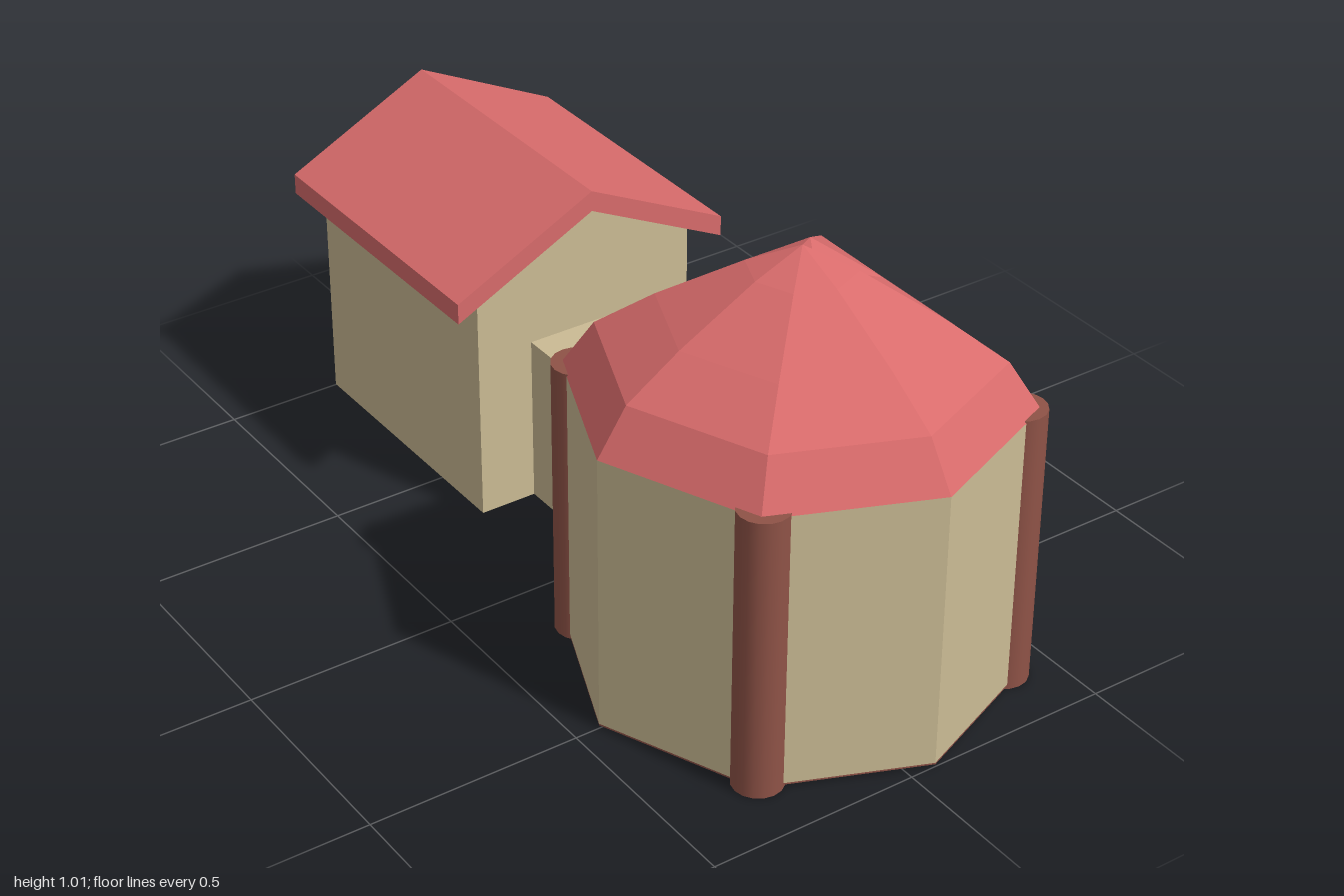
import * as THREE from 'three';

export function createModel() {
  const model = new THREE.Group();
  const paint = (name, color) => {
    const m = new THREE.MeshStandardMaterial({ color });
    m.name = name;
    return m;
  };
  const stone = paint('sand wall', 0xcbbb94);
  const tile = paint('red roof', 0xd86b6b);
  const wood = paint('brown trim', 0x8f5347);

  const add = (name, geometry, material, x = 0, y = 0, z = 0) => {
    const mesh = new THREE.Mesh(geometry, material);
    mesh.name = name;
    mesh.position.set(x, y, z);
    model.add(mesh);
    return mesh;
  };
  const box = (name, material, x0, x1, y0, y1, z0, z1) =>
    add(name, new THREE.BoxGeometry(x1 - x0, y1 - y0, z1 - z0), material,
      (x0 + x1) / 2, (y0 + y1) / 2, (z0 + z1) / 2);
  const extrude = (points, depth) => new THREE.ExtrudeGeometry(
    new THREE.Shape(points.map(([x, y]) => new THREE.Vector2(x, y))),
    { depth, bevelEnabled: false });

  // Hall plan: an octagon with its right and back corners cut flat
  const cx = 0.06, cz = 0.5;
  const plan = [];
  for (let i = 0; i < 8; i++) {
    const a = i * Math.PI / 4;
    const r = i === 0 || i === 6 ? 0.5 * Math.SQRT1_2 : 0.502;
    plan.push([Math.cos(a) * r, Math.sin(a) * r]);
  }
  const outline = plan.map(([x, z]) => [x, -z]);
  add('hallWalls', extrude(outline, 0.663).rotateX(-Math.PI / 2), stone, cx, 0.012, cz);
  add('hallFloor', extrude(outline, 0.004).rotateX(-Math.PI / 2), wood, cx, 0.008, cz);

  // Domed hall roof in four tiers
  const tiers = [[1, 0.675], [0.86, 0.78], [0.605, 0.863], [0.235, 0.962], [0, 1.01]];
  const ringPoint = (t, i) => {
    const [s, y] = tiers[t];
    const k = i % 8;
    if (t === 3 && k === 0) return [cx + 0.035, 0.945, cz]; // notch beside the peak
    return [cx + plan[k][0] * s, y, cz + plan[k][1] * s];
  };
  const pos = [];
  for (let t = 0; t < 4; t++) {
    for (let i = 0; i < 8; i++) {
      const a = ringPoint(t, i), b = ringPoint(t, i + 1);
      const c = ringPoint(t + 1, i), d = ringPoint(t + 1, i + 1);
      pos.push(...a, ...c, ...b);
      if (t < 3) pos.push(...b, ...c, ...d);
    }
  }
  const dome = new THREE.BufferGeometry();
  dome.setAttribute('position', new THREE.Float32BufferAttribute(pos, 3));
  dome.computeVertexNormals();
  add('hallRoof', dome, tile);

  // Corner columns
  for (const x of [-0.27, 0.382]) {
    for (const z of [0.17, 0.83]) {
      add('column', new THREE.CylinderGeometry(0.058, 0.058, 0.68, 16), wood, x, 0.34, z);
    }
  }

  // Door frame on the right wall
  box('doorPost', wood, 0.40, 0.44, 0.012, 0.37, 0.33, 0.37);
  box('doorPost', wood, 0.40, 0.44, 0.012, 0.37, 0.62, 0.66);
  box('doorLintel', wood, 0.40, 0.44, 0.33, 0.37, 0.37, 0.62);

  // Passage to the rear house
  box('passage', stone, -0.085, 0.2, 0.012, 0.425, -0.32, 0.15);

  // Rear house with gable ends
  const w = 0.285;
  add('houseWalls', extrude([[-w, 0.012], [w, 0.012], [w, 0.595], [0, 0.735], [-w, 0.595]], 0.68),
    stone, cx, 0, -0.985);

  // Folded house roof
  const e = 0.355;
  add('houseRoof', extrude([[-e, 0.56], [0, 0.735], [e, 0.56], [e, 0.61], [0, 0.785], [-e, 0.61]], 0.73),
    tile, cx, 0, -1);

  return model;
}
